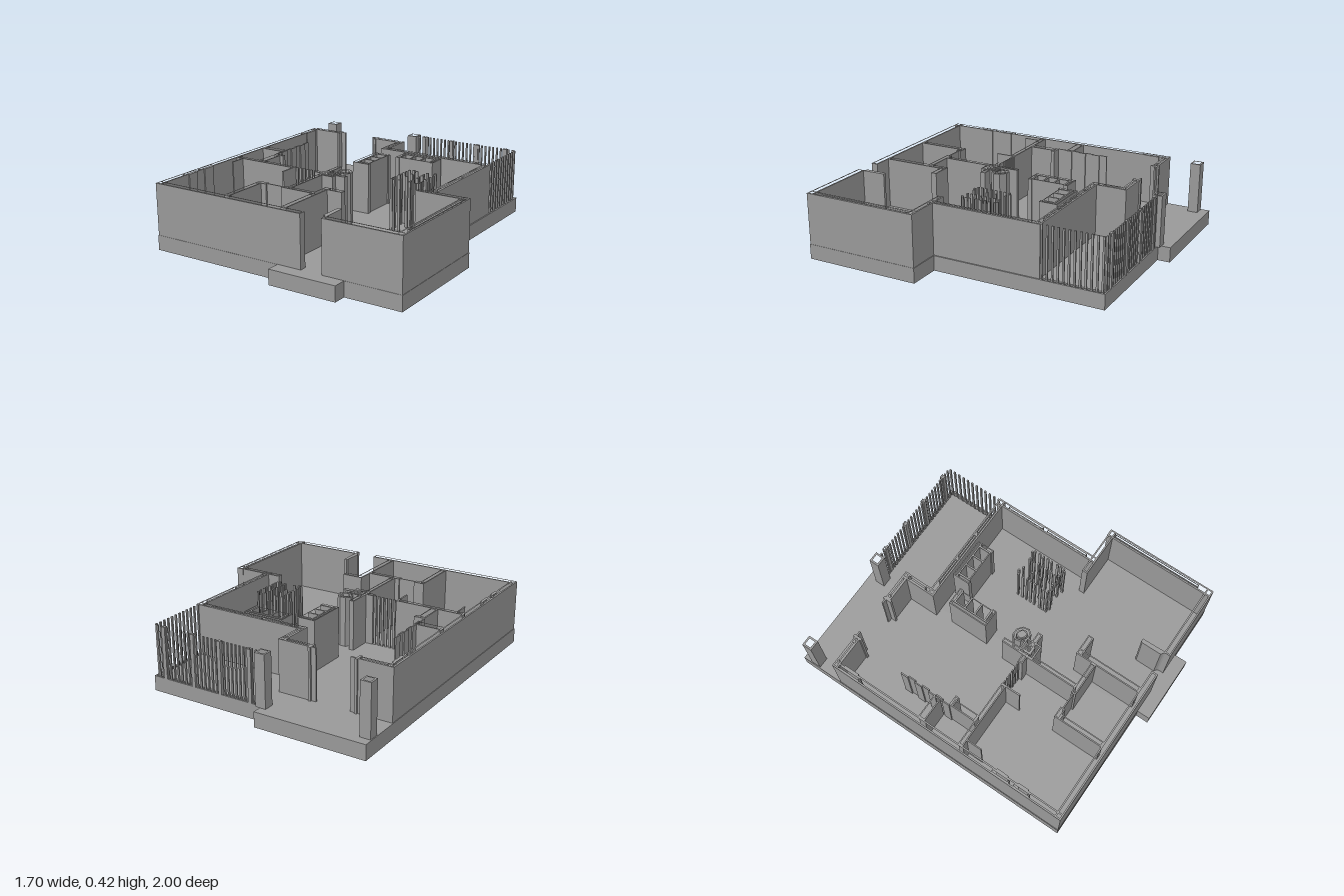
import * as THREE from 'three';

const BASE = 0.095, TOP = 0.42, T = 0.01;

export function createModel() {
  const model = new THREE.Group();
  const concrete = new THREE.MeshStandardMaterial({ color: 0x999999 });

  const group = (name) => {
    const g = new THREE.Group();
    g.name = name;
    model.add(g);
    return g;
  };
  // box given by its plan corners and height range
  const box = (g, name, x0, z0, x1, z1, y0 = BASE, y1 = TOP) => {
    const m = new THREE.Mesh(new THREE.BoxGeometry(x1 - x0, y1 - y0, z1 - z0), concrete);
    m.position.set((x0 + x1) / 2, (y0 + y1) / 2, (z0 + z1) / 2);
    m.name = name;
    g.add(m);
    return m;
  };
  // plan outline raised to a solid; plan points are [x, z]
  const raise = (g, name, pts, y0, y1, hole) => {
    const shape = new THREE.Shape(pts.map(([x, z]) => new THREE.Vector2(x, -z)));
    if (hole) shape.holes.push(new THREE.Path(hole.map(([x, z]) => new THREE.Vector2(x, -z))));
    const geo = new THREE.ExtrudeGeometry(shape, { depth: y1 - y0, bevelEnabled: false });
    geo.rotateX(-Math.PI / 2);
    const m = new THREE.Mesh(geo, concrete);
    m.position.y = y0;
    m.name = name;
    g.add(m);
    return m;
  };
  const rect = (x0, z0, x1, z1) => [[x0, z0], [x1, z0], [x1, z1], [x0, z1]];
  // hollow wall: a thin shell around a plan rectangle
  const shell = (g, name, x0, z0, x1, z1, t = T) =>
    raise(g, name, rect(x0, z0, x1, z1), BASE, TOP, rect(x0 + t, z0 + t, x1 - t, z1 - t));

  // Floor slab with porch step
  const floor = group('floor');
  raise(floor, 'slab', [
    [-0.852, -1], [-0.14, -1], [-0.14, -0.9], [0.61, -0.9], [0.61, -0.52], [0.638, -0.52],
    [0.638, 0.17], [0.848, 0.17], [0.848, 0.917], [0.485, 0.917], [0.485, 1], [0.04, 1],
    [0.04, 0.917], [-0.852, 0.917]], 0, BASE);

  // Terrace kerb, held off the slab by small ties
  const kerb = group('terraceKerb');
  box(kerb, 'backKerb', -0.14, -0.923, 0.638, -0.913, 0, BASE);
  box(kerb, 'sideKerb', 0.628, -0.913, 0.638, -0.52, 0, BASE);

  // Terrace railing bars
  const railing = group('terraceRailing');
  for (let i = 0; i < 26; i++) {
    const x = -0.1 + i * 0.028, wide = i % 7 === 2 ? 0.012 : 0.005;
    box(kerb, 'tie', x - wide, -0.913, x + wide, -0.9, 0, BASE);
    box(railing, 'backBar', x - wide, -0.916, x + wide, -0.906);
  }
  for (let i = 0; i < 12; i++) {
    const z = -0.9 + i * 0.034;
    box(kerb, 'tie', 0.61, z - 0.006, 0.628, z + 0.006, 0, BASE);
    box(railing, 'sideBar', 0.613, z - 0.006, 0.623, z + 0.006);
  }
  for (const x of [-0.06, 0.15, 0.34, 0.55]) shell(railing, 'railPost', x - 0.012, -0.925, x + 0.012, -0.9, 0.006);

  // Entrance columns
  const columns = group('columns');
  for (const x of [-0.812, -0.145]) shell(columns, 'column', x - 0.034, -0.943, x + 0.034, -0.878, 0.012);

  // Outer walls
  const outer = group('outerWalls');
  [
    [-0.848, -0.715, -0.81, 0.915],
    [-0.848, -0.715, -0.615, -0.68],
    [-0.315, -0.715, -0.11, -0.68],
    [-0.15, -0.715, -0.112, -0.48],
    [-0.15, -0.522, 0.628, -0.482],
    [0.592, -0.522, 0.63, 0.21],
    [0.51, 0.175, 0.846, 0.212],
    [0.8, 0.172, 0.846, 0.915],
    [-0.848, 0.872, 0.2, 0.915],
    [0.34, 0.872, 0.846, 0.915],
  ].forEach((w) => shell(outer, 'outerWall', ...w));

  // Inner walls
  const inner = group('innerWalls');
  [
    [-0.81, 0.18, -0.37, 0.212],
    [-0.2, 0.18, 0.02, 0.212],
    [-0.15, 0.03, -0.12, 0.55],
    [-0.36, 0.548, -0.29, 0.58],
    [-0.18, 0.548, 0.04, 0.58],
    [-0.36, 0.58, -0.325, 0.872],
    [0.04, 0.44, 0.077, 0.872],
    [0.04, 0.44, 0.177, 0.477],
    [-0.81, -0.107, -0.655, -0.06],
    [-0.65, 0.005, -0.605, 0.18],
    [-0.65, 0.0, -0.583, 0.025],
  ].forEach((w) => shell(inner, 'innerWall', ...w, 0.008));

  // Chimney shaft, one shell inside another
  const shaft = group('shaft');
  shell(shaft, 'shaftOuter', -0.146, 0.143, -0.044, 0.247);
  shell(shaft, 'shaftInner', -0.122, 0.165, -0.072, 0.22, 0.008);

  // Window frames inside the outer walls
  const windows = group('windows');
  for (const [z0, z1] of [[-0.67, -0.53], [0.43, 0.55], [0.58, 0.69]]) {
    shell(windows, 'leftWindow', -0.84, z0, -0.818, z1, 0.006);
    box(windows, 'leftSill', -0.812, z0 + 0.02, -0.803, z1 - 0.02);
  }
  for (const [x0, x1] of [[-0.05, 0.13], [0.155, 0.33], [0.355, 0.54]]) {
    shell(windows, 'terraceWindow', x0, -0.51, x1, -0.494, 0.005);
  }
  shell(windows, 'sideWindow', 0.603, -0.44, 0.62, -0.18, 0.005);
  shell(windows, 'sideWindow', 0.603, -0.15, 0.62, 0.14, 0.005);
  shell(windows, 'eastWindow', 0.814, 0.22, 0.832, 0.82, 0.005);
  shell(windows, 'backWindow', -0.8, -0.706, -0.66, -0.69, 0.005);
  shell(windows, 'backWindow', -0.29, -0.706, -0.15, -0.69, 0.005);
  shell(windows, 'porchWindow', -0.14, -0.66, -0.122, -0.55, 0.005);

  // Doors, jambs and thin partitions
  const doors = group('doors');
  [
    [-0.615, -0.714, -0.583, -0.704],
    [-0.36, -0.714, -0.315, -0.704],
    [-0.63, -0.725, -0.615, -0.67],
    [-0.33, -0.725, -0.315, -0.67],
    [-0.768, 0.212, -0.76, 0.31],
    [-0.373, 0.18, -0.363, 0.31],
    [-0.29, 0.56, -0.18, 0.568],
  ].forEach((d) => box(doors, 'doorLeaf', ...d));
  raise(doors, 'frontDoor', [[0.325, 0.72], [0.343, 0.72], [0.347, 0.872], [0.345, 0.89],
    [0.335, 0.872], [0.318, 0.86], [0.318, 0.73]], BASE, TOP);
  for (let i = 0; i < 6; i++) box(doors, 'doorSlat', -0.355 + i * 0.027, 0.184, -0.34 + i * 0.027, 0.192);
  // folding screen beside the hall
  for (let i = 0; i < 7; i++) {
    const x = -0.657 + (i % 2) * 0.009, z = -0.35 + i * 0.05;
    box(doors, 'screenPanel', x, z, x + 0.008, z + 0.052);
  }

  // Sofa: back, two arms and three hollow seats, drawn along x
  const sofa = (x, z, turn) => {
    const g = group('sofa');
    shell(g, 'back', -0.135, -0.058, 0.135, -0.03, 0.007);
    for (const s of [-1, 1]) {
      shell(g, 'arm', s * 0.122 - 0.013, -0.034, s * 0.122 + 0.013, 0.058, 0.007);
    }
    for (let i = -1; i <= 1; i++) shell(g, 'seat', i * 0.073 - 0.038, -0.034, i * 0.073 + 0.038, 0.05, 0.007);
    g.position.set(x, 0, z);
    g.rotation.y = turn;
  };
  sofa(0.175, -0.407, 0);
  sofa(-0.07, -0.24, Math.PI / 2);

  // Armchair, a turned rounded shell with a smaller one within
  const chair = group('armchair');
  const ringPts = (r) => Array.from({ length: 8 }, (_, i) => {
    const a = (i + 0.5) * Math.PI / 4;
    return [r * Math.cos(a), r * 0.8 * Math.sin(a)];
  });
  raise(chair, 'chairShell', ringPts(0.058), BASE, TOP, ringPts(0.047));
  raise(chair, 'chairSeat', ringPts(0.036), BASE, TOP, ringPts(0.026));
  chair.position.set(-0.045, 0, 0.105);
  chair.rotation.y = -0.7;

  // Dining set: slim uprights along two table edges and the chair rows
  const dining = group('diningSet');
  for (const x of [0.27, 0.323, 0.395, 0.45]) {
    for (const z of [-0.135, -0.07, -0.01, 0.08]) {
      box(dining, 'upright', x - 0.008, z - 0.005, x + 0.008, z + 0.005);
    }
  }
  for (const x of [0.293, 0.44]) for (const z of [-0.148, 0.09]) {
    box(dining, 'endUpright', x - 0.006, z - 0.006, x + 0.006, z + 0.006);
  }
  for (const z of [-0.1, -0.04, 0.03, 0.055]) for (const x of [0.267, 0.39, 0.455]) {
    box(dining, 'sideUpright', x - 0.004, z - 0.008, x + 0.004, z + 0.008);
  }
  return model;
}
